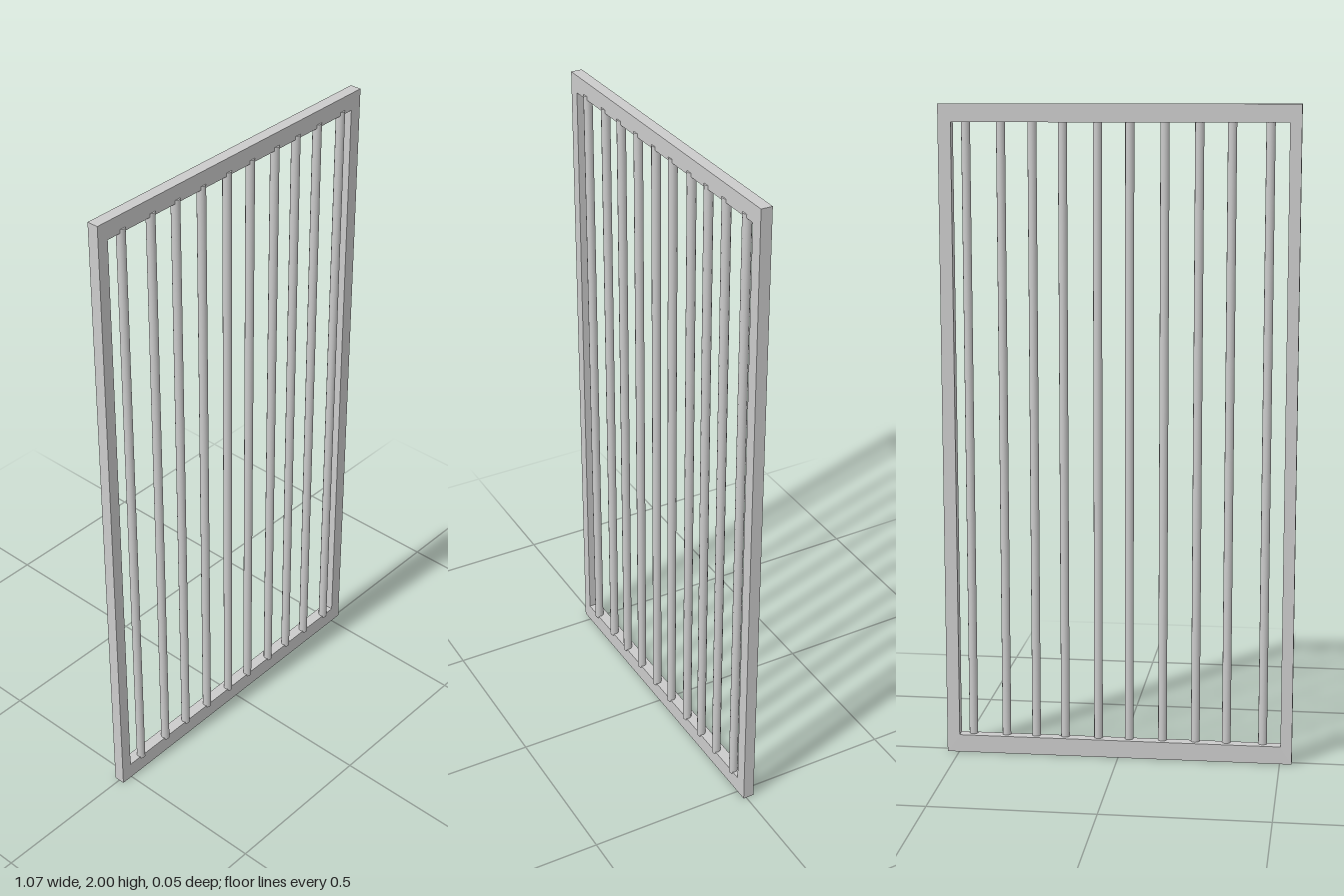
import * as THREE from 'three';

const WIDTH = 1.074, HEIGHT = 2, DEPTH = 0.035;
const BAR_RADIUS = 0.0135, BAR_BOTTOM = 0.048, BAR_TOP = 1.957;
// slightly uneven bar spacing
const BAR_X = [-0.446, -0.334, -0.238, -0.136, -0.032, 0.064, 0.168, 0.259, 0.353, 0.458];

function rectangle(path, x0, y0, x1, y1) {
  path.moveTo(x0, y0);
  path.lineTo(x1, y0);
  path.lineTo(x1, y1);
  path.lineTo(x0, y1);
  path.closePath();
  return path;
}

export function createModel() {
  const model = new THREE.Group();
  model.name = 'barredGate';
  const material = new THREE.MeshStandardMaterial({ color: 0xcccccc });

  // the panel stands very slightly turned
  const panel = new THREE.Group();
  panel.name = 'panel';
  panel.position.z = -0.004;
  panel.rotation.y = 0.0077;
  model.add(panel);

  // rectangular frame with one opening
  const outline = rectangle(new THREE.Shape(), -WIDTH / 2, 0, WIDTH / 2, HEIGHT);
  outline.holes.push(rectangle(new THREE.Path(), -0.502, 0.055, 0.498, 1.946));
  const frameGeometry = new THREE.ExtrudeGeometry(outline, { depth: DEPTH, bevelEnabled: false });
  frameGeometry.translate(0, 0, -DEPTH / 2);
  const frame = new THREE.Mesh(frameGeometry, material);
  frame.name = 'frame';
  panel.add(frame);

  // round bars, standing a little proud of the frame's front face
  const barGeometry = new THREE.CylinderGeometry(BAR_RADIUS, BAR_RADIUS, BAR_TOP - BAR_BOTTOM, 12);
  BAR_X.forEach((x, i) => {
    const bar = new THREE.Mesh(barGeometry, material);
    bar.name = `bar${i + 1}`;
    bar.position.set(x, (BAR_TOP + BAR_BOTTOM) / 2, 0.0095);
    panel.add(bar);
  });

  return model;
}
